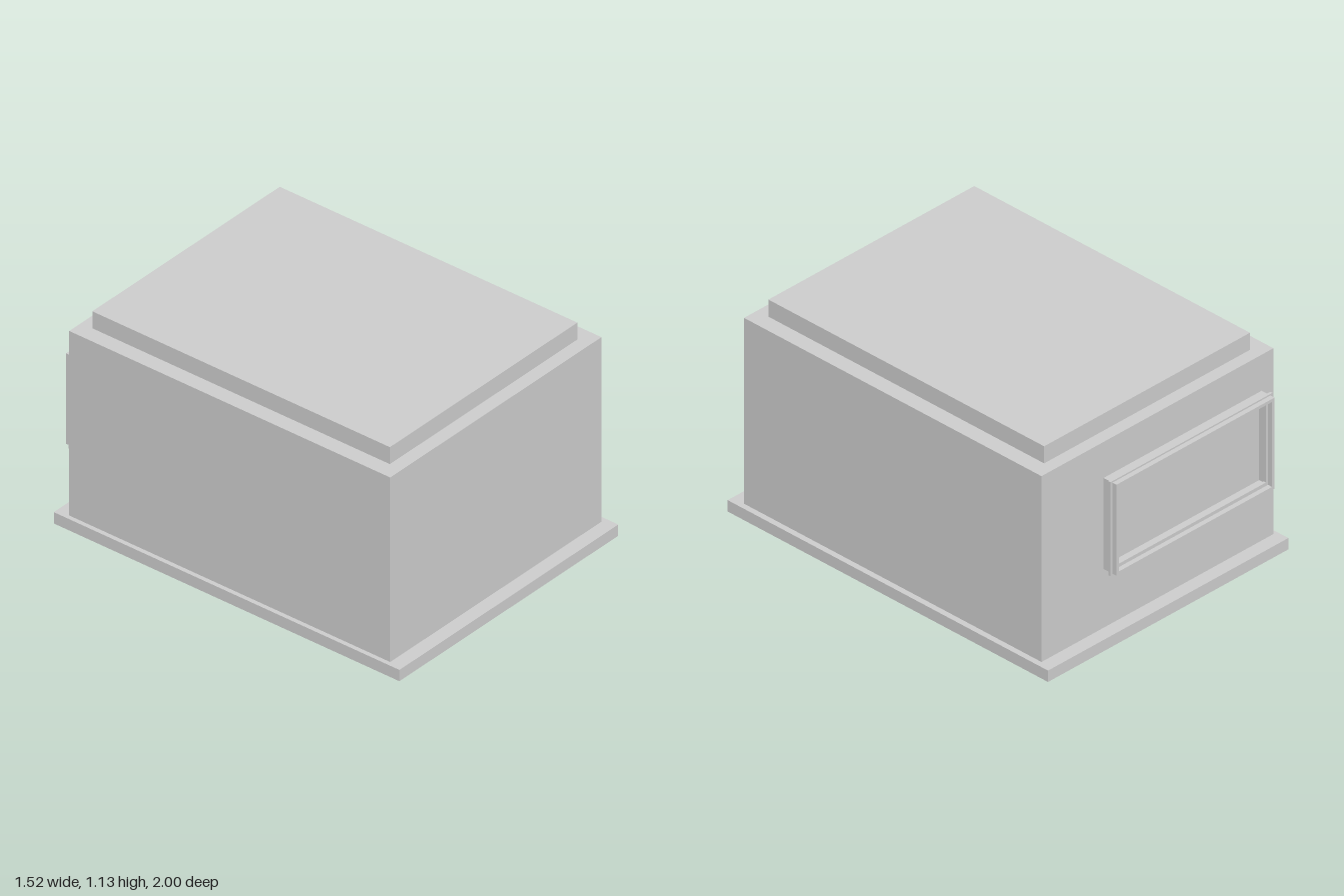
import * as THREE from 'three';

const material = new THREE.MeshStandardMaterial({ color: 0xcccccc, flatShading: true });

// Box given by its min and max corners
function block(name, [x0, y0, z0], [x1, y1, z1]) {
  const mesh = new THREE.Mesh(new THREE.BoxGeometry(x1 - x0, y1 - y0, z1 - z0), material);
  mesh.name = name;
  mesh.position.set((x0 + x1) / 2, (y0 + y1) / 2, (z0 + z1) / 2);
  return mesh;
}

// Rectangular ring: centred w x h outline, border width and z range
function ring(name, w, h, border, z0, z1) {
  const rect = (T, a, b) => new T([
    new THREE.Vector2(-a, -b), new THREE.Vector2(a, -b),
    new THREE.Vector2(a, b), new THREE.Vector2(-a, b),
  ]);
  const shape = rect(THREE.Shape, w / 2, h / 2);
  shape.holes.push(rect(THREE.Path, w / 2 - border, h / 2 - border));
  const geometry = new THREE.ExtrudeGeometry(shape, { depth: z1 - z0, bevelEnabled: false });
  const mesh = new THREE.Mesh(geometry, material);
  mesh.name = name;
  mesh.position.z = z0;
  return mesh;
}

export function createModel() {
  const model = new THREE.Group();
  model.name = 'steppedBox';

  // Stacked blocks
  model.add(
    block('basePlinth', [-0.76, 0, -0.99], [0.76, 0.06, 1]),
    block('body', [-0.737, 0.06, -0.92], [0.73, 1.04, 0.928]),
    block('topSlab', [-0.655, 1.04, -0.855], [0.647, 1.13, 0.858]),
  );

  // Offset frame on the back, with a thin flange around its middle
  const frame = new THREE.Group();
  frame.name = 'backFrame';
  frame.position.set(-0.163, 0.61, 0);
  frame.add(
    ring('frameWall', 1.0, 0.48, 0.016, -1, -0.92),
    ring('frameFlange', 1.026, 0.496, 0.042, -0.975, -0.962),
  );
  model.add(frame);
  return model;
}
